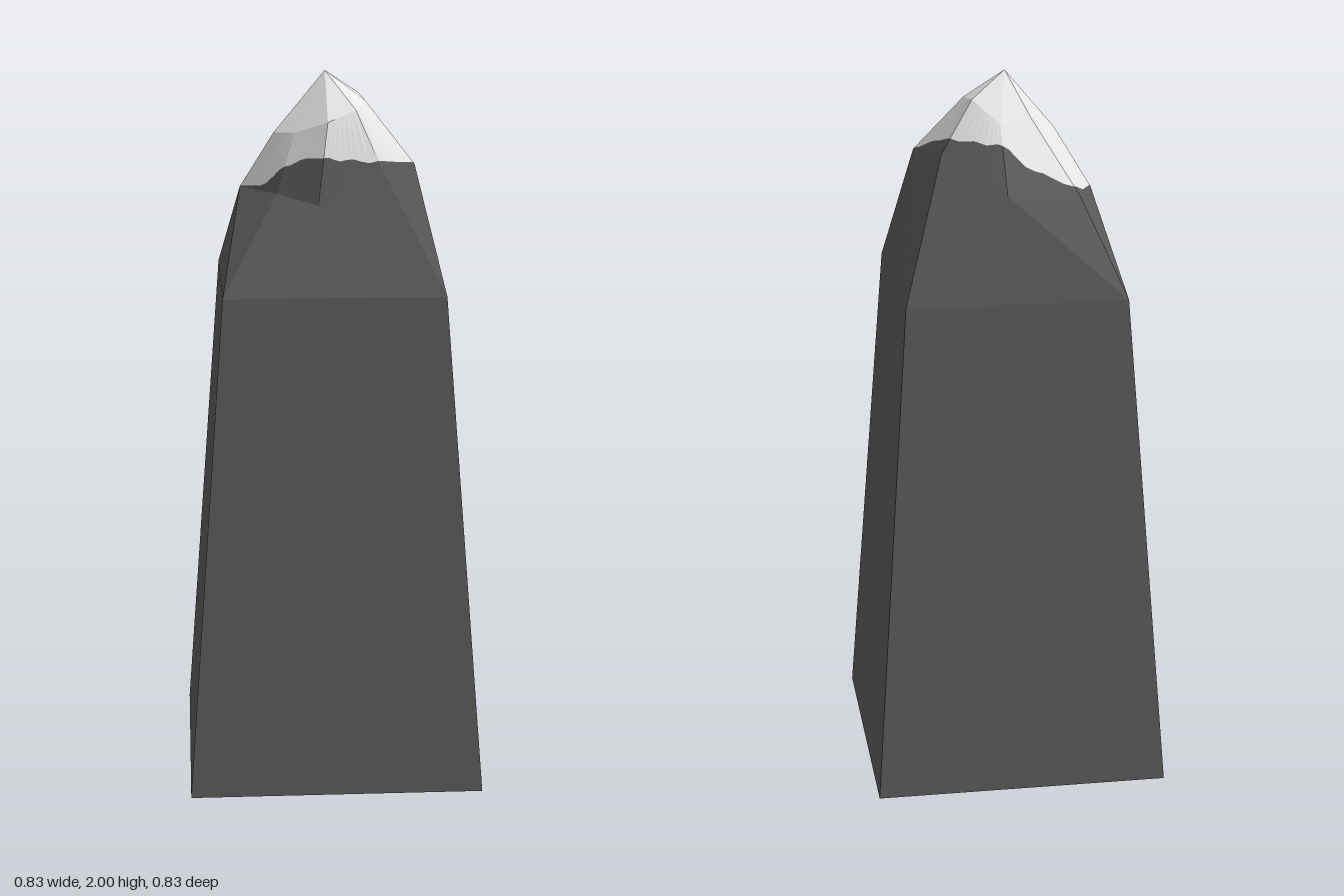
import * as THREE from 'three';

const rock = new THREE.MeshStandardMaterial({ color: 0x5a5a5a });
rock.name = 'dark rock';
const snow = new THREE.MeshStandardMaterial({ color: 0xe8e8e8 });
snow.name = 'snow white';

const vec = (p) => new THREE.Vector3(...p);

// Faceted mesh from a flat list of triangle corners
function facets(name, corners, material) {
  const geometry = new THREE.BufferGeometry().setFromPoints(corners);
  geometry.computeVertexNormals();
  const mesh = new THREE.Mesh(geometry, material);
  mesh.name = name;
  return mesh;
}

// Square ring of corners: front left, front right, back right, back left
const square = (h, y) => [[-h, y, h], [h, y, h], [h, y, -h], [-h, y, -h]].map(vec);

// Rings of the crag, running from the -x side round the front
const shoulder = [
  [-0.25, 1.67, -0.03], [-0.15, 1.67, 0.12], [-0.04, 1.65, 0.21], [0.13, 1.76, 0.178],
  [0.23, 1.755, 0.145], [0.18, 1.79, -0.1], [0.02, 1.7, -0.25], [-0.19, 1.68, -0.195],
].map(vec);
const crest = [
  [-0.155, 1.83, 0.025], [-0.1, 1.835, 0.085], [-0.01, 1.87, 0.145], [0.07, 1.9, 0.12],
  [0.1, 1.92, 0.04], [0.09, 1.93, -0.06], [0.02, 1.87, -0.12], [-0.07, 1.88, -0.09],
].map(vec);
const apex = vec([-0.01, 2, 0]);

// Height of the snow line between shoulder and crest, two values per side
const snowLine = [0.02, 0.08, 0.45, 0.57, 0.57, 0.36, 0.05, 0.03,
  0.02, 0.2, 0.28, 0.5, 0.7, 0.33, 0.12, 0.03];
const STEPS = 8;

function snowHeight(i, k) {
  const s = (k / STEPS) * 2;
  const j = 2 * i + Math.floor(s);
  const f = THREE.MathUtils.smoothstep(s % 1, 0, 1);
  return THREE.MathUtils.lerp(snowLine[j % 16], snowLine[(j + 1) % 16], f);
}

export function createModel() {
  const model = new THREE.Group();
  model.name = 'snowy rock pillar';

  // Tapered shaft with closed base
  const base = square(0.413, 0);
  const top = square(0.308, 1.41);
  const shaft = [base[0], base[2], base[1], base[0], base[3], base[2]];
  for (let i = 0; i < 4; i++) {
    const j = (i + 1) % 4;
    shaft.push(base[i], base[j], top[j], base[i], top[j], top[i]);
  }
  model.add(facets('shaft', shaft, rock));

  // Broken slopes from the shaft up to the shoulder
  const slopes = [];
  for (let i = 0; i < 4; i++) {
    slopes.push(top[i], top[(i + 1) % 4], shoulder[(2 * i + 2) % 8]);
  }
  for (let i = 0; i < 8; i++) {
    slopes.push(top[Math.floor(i / 2)], shoulder[(i + 1) % 8], shoulder[i]);
  }
  model.add(facets('slopes', slopes, rock));

  // Band between shoulder and crest, split along the snow line
  const bareBand = [];
  const snowBand = [];
  const tip = [];
  for (let i = 0; i < 8; i++) {
    const j = (i + 1) % 8;
    const column = (k) => {
      const low = shoulder[i].clone().lerp(shoulder[j], k / STEPS);
      const high = crest[i].clone().lerp(crest[j], k / STEPS);
      return [low, low.clone().lerp(high, snowHeight(i, k)), high];
    };
    for (let k = 0; k < STEPS; k++) {
      const a = column(k);
      const b = column(k + 1);
      bareBand.push(a[0], b[0], b[1], a[0], b[1], a[1]);
      snowBand.push(a[1], b[1], b[2], a[1], b[2], a[2]);
    }
    tip.push(crest[i], crest[j], apex);
  }
  model.add(facets('bareBand', bareBand, rock));
  model.add(facets('snowBand', snowBand, snow));
  model.add(facets('snowTip', tip, snow));

  return model;
}
